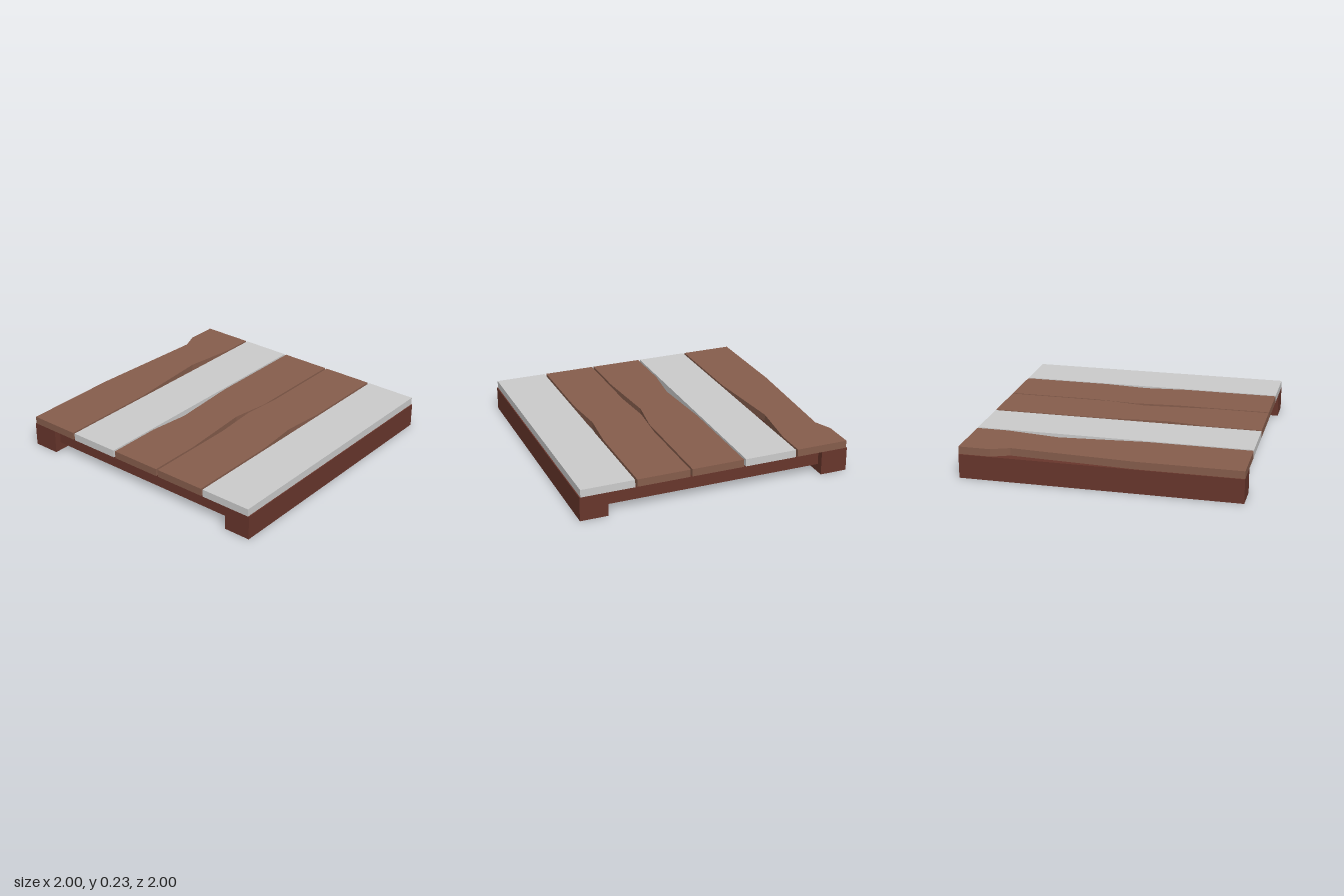
import * as THREE from 'three';

const BEAM_TOP = 0.175, PLANK_TOP = 0.23, HALF = 0.1925;

const material = (color) => new THREE.MeshStandardMaterial({ color, flatShading: true });

function box(name, mat, w, h, d, x, y, z) {
  const mesh = new THREE.Mesh(new THREE.BoxGeometry(w, h, d), mat);
  mesh.name = name;
  mesh.position.set(x, y, z);
  return mesh;
}

// Plank outline in x/z, with optional worn points along its back and front edges
function plank(name, mat, z, back = [], front = []) {
  const outline = [
    [-1, z - HALF], ...back, [1, z - HALF],
    [1, z + HALF], ...[...front].reverse(), [-1, z + HALF],
  ].map(([x, y]) => new THREE.Vector2(x, y));
  const geometry = new THREE.ExtrudeGeometry(new THREE.Shape(outline), {
    depth: PLANK_TOP - BEAM_TOP, bevelEnabled: false,
  });
  geometry.rotateX(Math.PI / 2).translate(0, PLANK_TOP, 0);
  const mesh = new THREE.Mesh(geometry, mat);
  mesh.name = name;
  return mesh;
}

// Edge that leaves the straight line at x0, peaks at (xm, zm) and returns at x1
const bend = (edge, x0, xm, zm, x1) => [[x0, edge], [xm, zm], [x1, edge]];

export function createModel() {
  const model = new THREE.Group();
  model.name = 'plankPlatform';
  const dark = material(0x68362c);
  const brown = material(0x865d4c);
  const grey = material(0xcccccc);

  // Supporting frame: front and back beams, thinner side rails between them
  for (const s of [1, -1]) {
    model.add(box(s > 0 ? 'frontBeam' : 'backBeam', dark, 2, BEAM_TOP, 0.2, 0, BEAM_TOP / 2, s * 0.9));
    model.add(box(s > 0 ? 'leftRail' : 'rightRail', dark, 0.1, 0.115, 1.6, s * 0.9, 0.1175, 0));
  }

  // Straight planks
  model.add(plank('frontPlank', grey, 0.8));
  model.add(plank('innerBackPlank', grey, -0.4));

  // Worn planks
  model.add(plank('backPlank', brown, -0.8,
    bend(-0.8 - HALF, -0.26, 0.64, -0.94, 0.77),
    bend(-0.8 + HALF, -0.25, 0.38, -0.66, 0.77)));
  model.add(plank('middlePlank', brown, 0,
    bend(-HALF, -0.6, -0.3, -0.157, 0.21),
    bend(HALF, -0.6, -0.07, 0.15, 0.21)));
  model.add(plank('innerFrontPlank', brown, 0.4,
    bend(0.4 - HALF, -0.3, 0.03, 0.182, 0.34),
    bend(0.4 + HALF, -0.3, 0.02, 0.563, 0.34)));

  return model;
}
